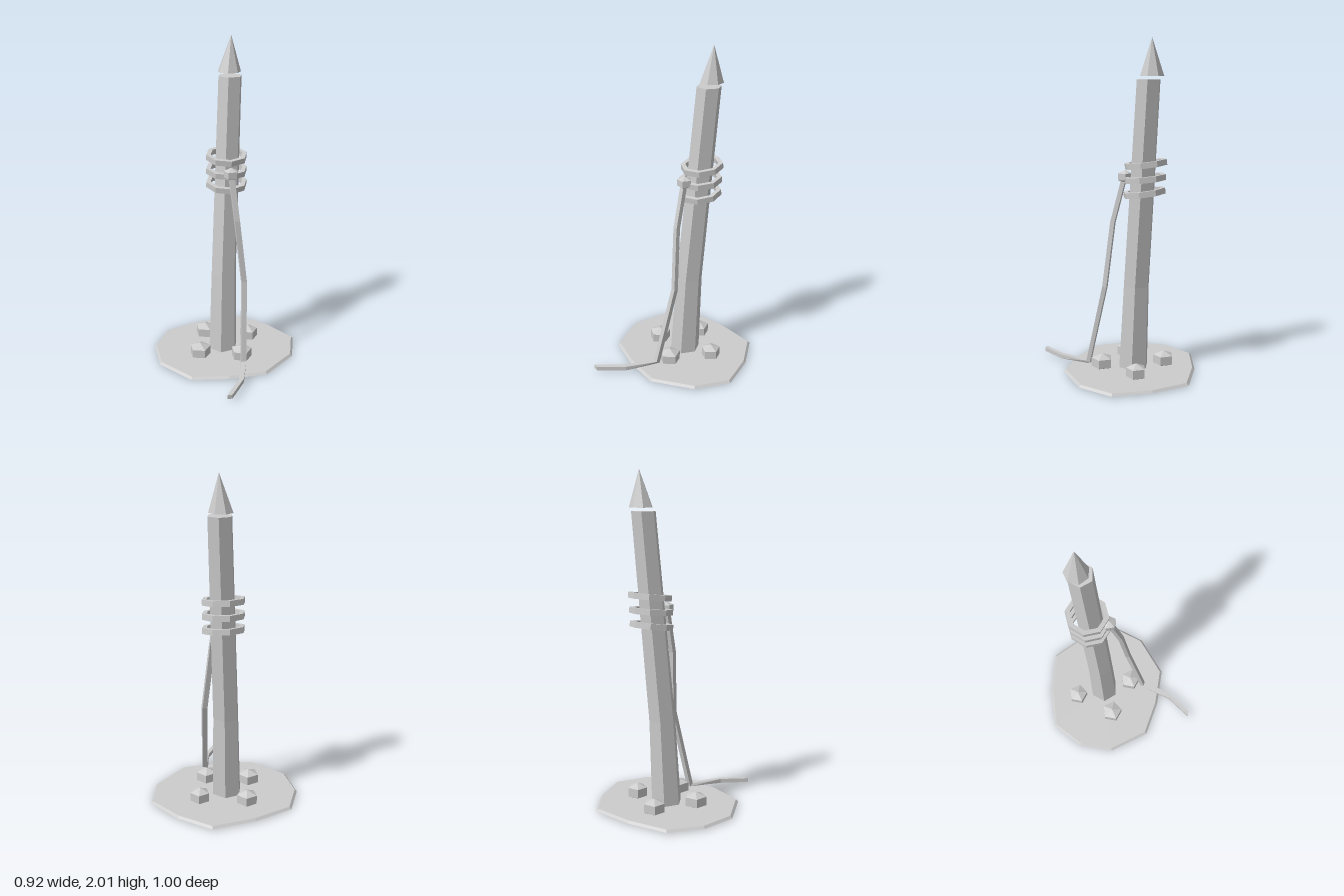
import * as THREE from 'three';

const stone = new THREE.MeshStandardMaterial({ color: 0xcccccc, flatShading: true });
stone.name = 'plain grey';

const V = (x, y, z) => new THREE.Vector3(x, y, z);

// Horizontal regular polygon, turned by angle "turn".
function polygon(x, y, z, radius, sides, turn) {
  return Array.from({ length: sides }, (_, i) => {
    const a = turn + (i / sides) * Math.PI * 2;
    return V(x + radius * Math.cos(a), y, z + radius * Math.sin(a));
  });
}

// Closed, flat-faced skin through a list of rings with equal point counts.
function loft(name, rings) {
  const pos = [];
  const tri = (...points) => points.forEach((p) => pos.push(p.x, p.y, p.z));
  const middle = (ring) => ring.reduce((s, p) => s.add(p), V(0, 0, 0)).divideScalar(ring.length);
  const n = rings[0].length;
  const last = rings[rings.length - 1];
  const bottom = middle(rings[0]);
  const top = middle(last);
  for (let i = 0; i < n; i++) {
    const j = (i + 1) % n;
    for (let k = 0; k < rings.length - 1; k++) {
      const a = rings[k], b = rings[k + 1];
      tri(a[i], b[i], b[j]);
      tri(a[i], b[j], a[j]);
    }
    tri(bottom, rings[0][i], rings[0][j]);
    tri(top, last[j], last[i]);
  }
  const geometry = new THREE.BufferGeometry();
  geometry.setAttribute('position', new THREE.Float32BufferAttribute(pos, 3));
  geometry.computeVertexNormals();
  const mesh = new THREE.Mesh(geometry, stone);
  mesh.name = name;
  return mesh;
}

// Five-sided stone with upright walls and a pointed top.
function pebble(name, x, y, z, radius, height, turn) {
  const mesh = new THREE.Mesh(new THREE.SphereGeometry(1, 5, 3), stone);
  mesh.scale.set(radius / 0.866, height / 2, radius / 0.866);
  mesh.rotation.y = turn;
  mesh.position.set(x, y, z);
  mesh.name = name;
  return mesh;
}

export function createModel() {
  const group = new THREE.Group();
  group.name = 'leaningPost';

  // Irregular ground patch with a bevelled rim
  const outline = [
    [0.18, -0.5], [0.345, -0.325], [0.458, -0.11], [0.38, 0.107], [0.16, 0.28], [-0.08, 0.275],
    [-0.307, 0.226], [-0.46, 0], [-0.452, -0.223], [-0.34, -0.417], [-0.09, -0.485],
  ];
  group.add(loft('groundPatch', [
    outline.map(([x, z]) => V(x, 0, z)),
    outline.map(([x, z]) => V(x * 0.972, 0.014, -0.11 + (z + 0.11) * 0.965)),
  ]));

  // Six-sided post, bent slightly and leaning back
  group.add(loft('post', [
    polygon(-0.023, 0.01, -0.113, 0.094, 6, -0.15),
    polygon(-0.01, 0.53, -0.134, 0.083, 6, -0.15),
    polygon(0.053, 1.765, -0.217, 0.075, 6, -0.15),
  ]));

  // Pointed tip floating just above the post
  group.add(loft('tip', [
    polygon(0.052, 1.785, -0.235, 0.071, 7, 0.12),
    polygon(0.065, 2, -0.238, 0.0005, 7, 0.12),
  ]));

  // Three tilted eight-sided bands
  const section = [[0.1, -0.017], [0.128, -0.017], [0.128, 0.017], [0.1, 0.017], [0.1, -0.017]]
    .map(([r, y]) => new THREE.Vector2(r, y));
  const bandGeometry = new THREE.LatheGeometry(section, 8);
  [[0.022, 1.105, -0.188, 0.14], [0.023, 1.19, -0.19, 0.1], [0.025, 1.275, -0.196, 0.13]]
    .forEach(([x, y, z, tilt]) => {
      const band = new THREE.Mesh(bandGeometry, stone);
      band.name = 'band';
      band.position.set(x, y, z);
      band.rotation.x = tilt;
      group.add(band);
    });

  // Loose rope: hangs from the knot, then trails over the ground
  const path = [
    V(0.022, 1.19, -0.066), V(0.04, 0.92, 0), V(0.075, 0.53, 0.04),
    V(0.043, 0.035, 0.155), V(-0.025, 0.028, 0.355), V(-0.133, 0.025, 0.5),
  ];
  const ropeRings = path.map((p, i) => {
    const along = path[Math.min(i + 1, path.length - 1)].clone().sub(path[Math.max(i - 1, 0)]);
    if (i >= path.length - 2) along.set(0, 0, 1);
    along.x = 0;
    const u = V(1, 0, 0);
    const v = u.clone().cross(along.normalize());
    return [[1, -1], [1, 1], [-1, 1], [-1, -1]].map(([a, b]) =>
      p.clone().addScaledVector(u, a * 0.016).addScaledVector(v, b * 0.013));
  });
  group.add(loft('rope', ropeRings));
  group.add(pebble('knot', 0.022, 1.197, -0.07, 0.045, 0.08, -Math.PI / 2));

  // Stones around the foot
  [[-0.1, -0.287, 0.063], [-0.192, -0.033, 0.067], [0.167, -0.18, 0.06], [0.055, 0.063, 0.066]]
    .forEach(([x, z, r]) => group.add(pebble('stone', x, 0.047, z, r, 0.106, Math.PI - 0.05)));

  return group;
}
